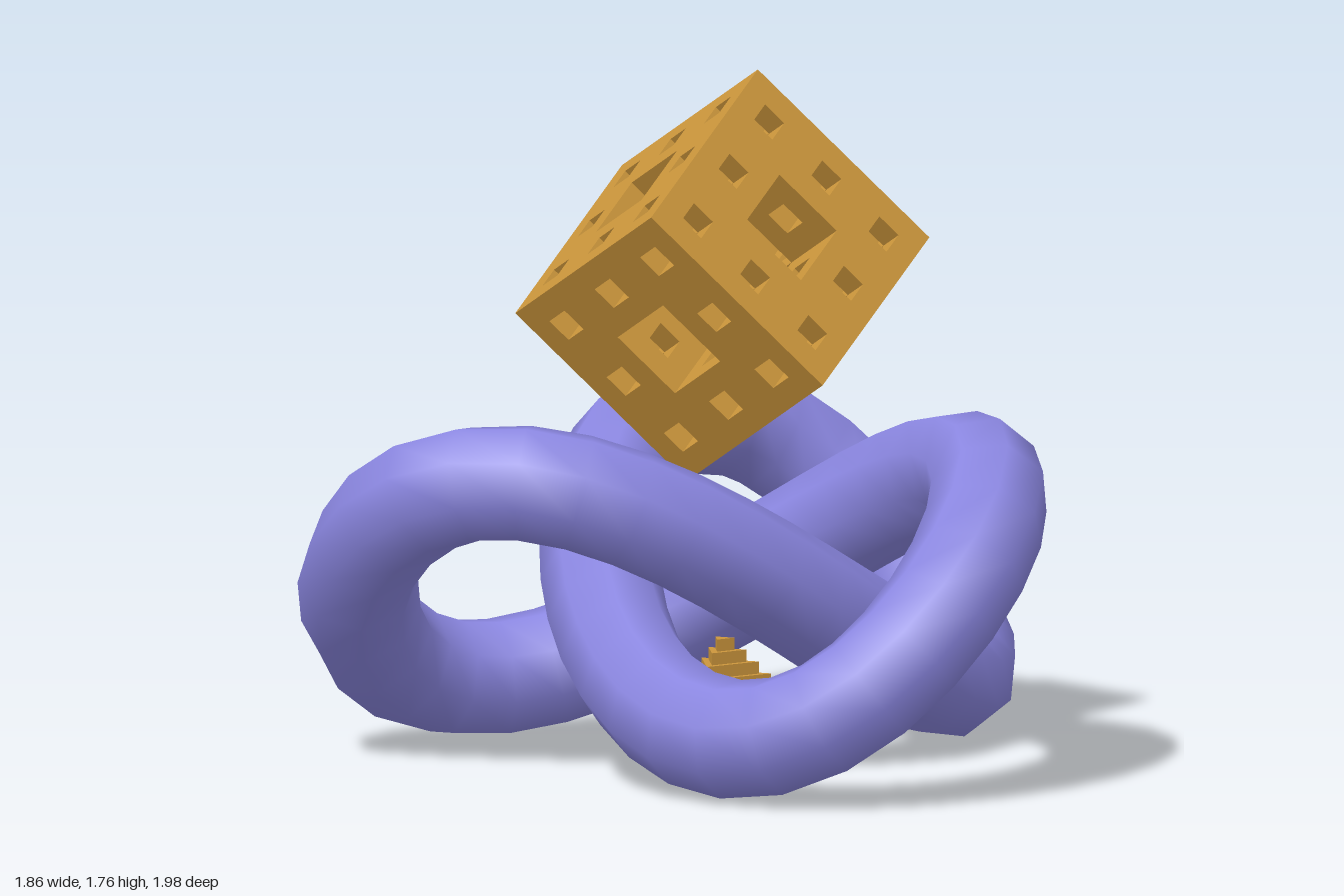
import * as THREE from 'three';
import { mergeGeometries } from 'three/addons/utils/BufferGeometryUtils.js';

const CX = 0.135; // shared vertical axis of the three bodies

// Closed trefoil path, one lobe pointing to -x
class TrefoilCurve extends THREE.Curve {
  getPoint(u, target = new THREE.Vector3()) {
    const t = u * Math.PI * 2, s = 0.308;
    return target.set(
      CX + s * (Math.cos(t) - 2 * Math.cos(2 * t)),
      0.464 - s * Math.sin(3 * t),
      s * (Math.sin(t) + 2 * Math.sin(2 * t))
    );
  }
}

// A cell is empty when two or more of its base-3 digits are the middle one, at either level
function isSolid(cell) {
  if (cell.some(v => v < 0 || v > 8)) return false;
  const middles = digit => cell.filter(v => digit(v) === 1).length;
  return middles(v => v % 3) < 2 && middles(v => Math.floor(v / 3)) < 2;
}

// Two-level sponge made only of its exposed cell faces
function spongeGeometry(size) {
  const c = size / 9, faces = [];
  const forward = new THREE.Vector3(0, 0, 1);
  const sides = [];
  for (let axis = 0; axis < 3; axis++) {
    for (const sign of [-1, 1]) {
      const n = [0, 0, 0];
      n[axis] = sign;
      const q = new THREE.Quaternion().setFromUnitVectors(forward, new THREE.Vector3(...n));
      const face = new THREE.PlaneGeometry(c, c).applyQuaternion(q);
      sides.push({ n, face: face.translate(n[0] * c / 2, n[1] * c / 2, n[2] * c / 2) });
    }
  }
  for (let i = 0; i < 9; i++) for (let j = 0; j < 9; j++) for (let k = 0; k < 9; k++) {
    if (!isSolid([i, j, k])) continue;
    for (const { n, face } of sides) {
      if (isSolid([i + n[0], j + n[1], k + n[2]])) continue;
      faces.push(face.clone().translate((i - 4) * c, (j - 4) * c, (k - 4) * c));
    }
  }
  return mergeGeometries(faces);
}

export function createModel() {
  const model = new THREE.Group();
  const blue = new THREE.MeshStandardMaterial({ color: 0x8a86e0 });
  const gold = new THREE.MeshStandardMaterial({ color: 0xcc963c, flatShading: true });

  // Knotted tube
  const knot = new THREE.Mesh(new THREE.TubeGeometry(new TrefoilCurve(), 64, 0.153, 8, true), blue);
  knot.name = 'knot';
  model.add(knot);

  // Sponge cube, tipped with one edge axis along (1, -1, 0)
  const sponge = new THREE.Mesh(spongeGeometry(0.615), gold);
  sponge.name = 'spongeCube';
  const a = new THREE.Vector3(1, -1, 0).normalize();
  const b = new THREE.Vector3(1, 1, Math.SQRT2).normalize();
  const basis = new THREE.Matrix4().makeBasis(a, b, new THREE.Vector3().crossVectors(a, b));
  sponge.quaternion.setFromRotationMatrix(basis);
  sponge.position.set(CX, 1.235, 0);
  model.add(sponge);

  // Stepped three-sided pyramid with a corner towards +x
  const pyramid = new THREE.Group();
  pyramid.name = 'steppedPyramid';
  const layers = 10, step = 0.0308;
  for (let i = 0; i < layers; i++) {
    const r = step * (layers - i);
    const layer = new THREE.Mesh(new THREE.CylinderGeometry(r, r, step, 3), gold);
    layer.name = 'pyramidStep';
    layer.rotation.y = Math.PI / 2;
    layer.position.y = step * (i + 0.5);
    pyramid.add(layer);
  }
  pyramid.position.x = CX;
  model.add(pyramid);

  return model;
}
